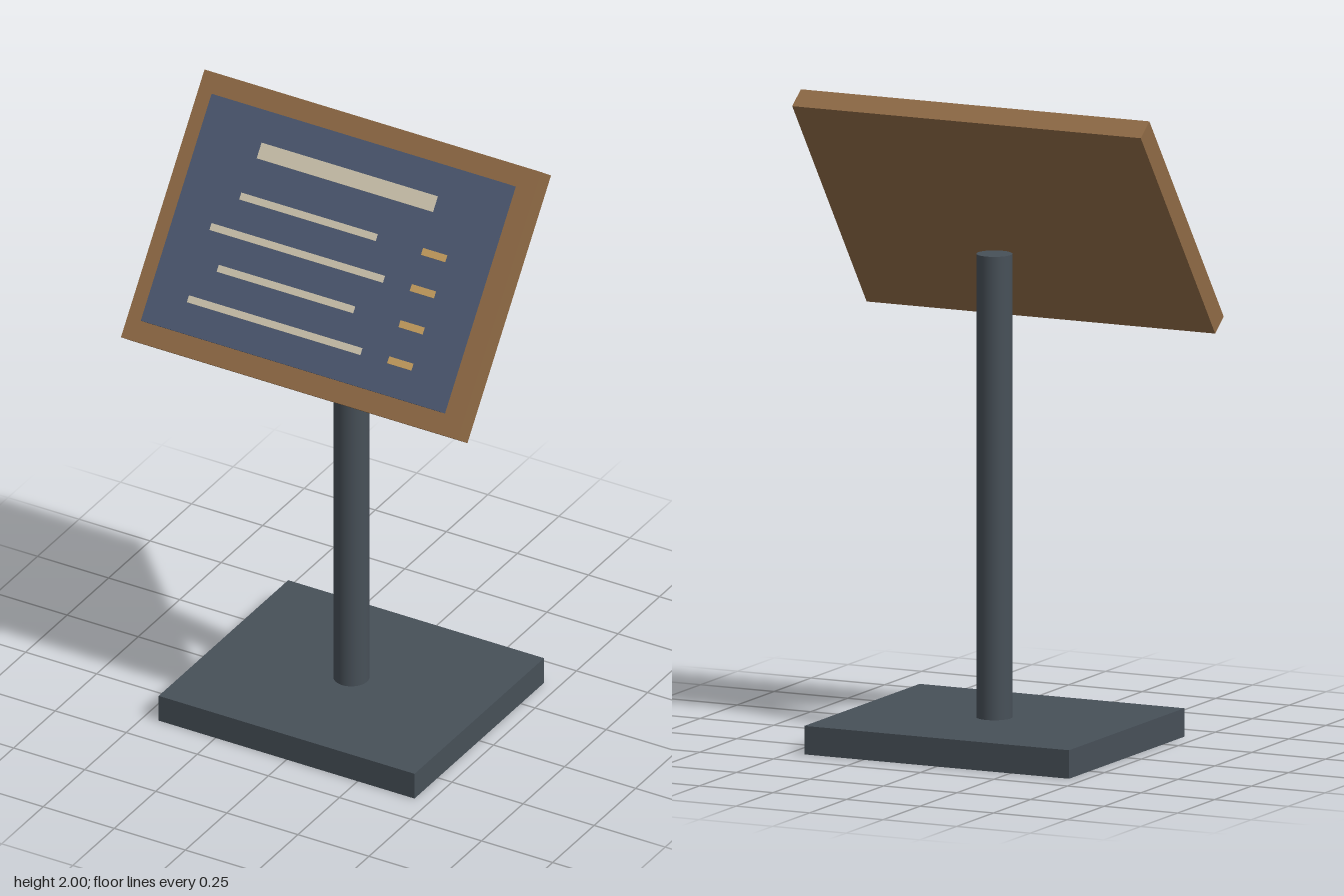
import * as THREE from 'three';

const material = (color) => new THREE.MeshStandardMaterial({ color });
const steel = material(0x475058);
const wood = material(0x8f6a45);
const slate = material(0x4c5870);
const cream = material(0xcfc6b0);
const gold = material(0xc8a060);

function addBox(parent, name, mat, [w, h, d], [x, y, z]) {
  const mesh = new THREE.Mesh(new THREE.BoxGeometry(w, h, d), mat);
  mesh.name = name;
  mesh.position.set(x, y, z);
  parent.add(mesh);
  return mesh;
}

export function createModel() {
  const model = new THREE.Group();
  model.name = 'menuStand';

  // Floor plate and round post
  addBox(model, 'base', steel, [0.9, 0.088, 0.78], [0, 0.044, 0]);
  const post = new THREE.Mesh(new THREE.CylinderGeometry(0.055, 0.055, 1.44, 32), steel);
  post.name = 'post';
  post.position.y = 0.8;
  model.add(post);

  // Tilted board: everything on it is placed in the board's own frame
  const board = new THREE.Group();
  board.name = 'board';
  board.position.set(0, 1.635, 0.0925);
  board.rotation.x = -0.632;
  model.add(board);
  addBox(board, 'woodBacking', wood, [1.185, 0.852, 0.072], [0, 0, 0]);
  addBox(board, 'slatePanel', slate, [1.05, 0.722, 0.043], [0, 0, 0.0575]);

  // Heading bar
  addBox(board, 'headingBar', cream, [0.61, 0.05, 0.022], [0, 0.238, 0.09]);

  // Four rows: a long or short line with a small marker beside it
  for (let i = 0; i < 4; i++) {
    const y = 0.089 - i * 0.115;
    const width = i % 2 ? 0.6 : 0.47;
    addBox(board, `textLine${i + 1}`, cream, [width, 0.022, 0.022], [-0.085, y, 0.09]);
    addBox(board, `priceMarker${i + 1}`, gold, [0.075, 0.022, 0.022], [0.357, y, 0.09]);
  }
  return model;
}
